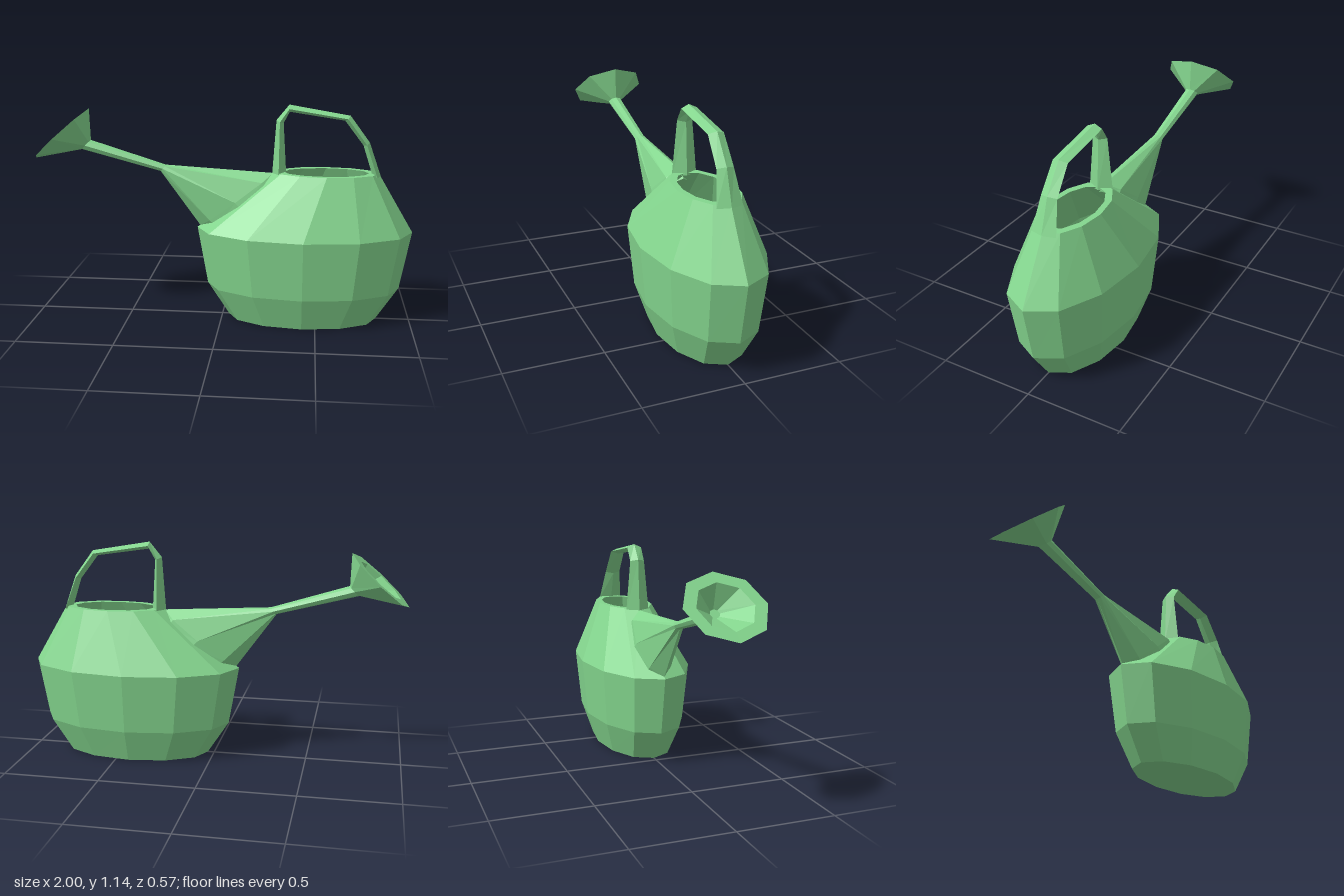
import * as THREE from 'three';

// Ring of n points: p and q are opposite [x, y] ends, w is the half width in z.
function ring(p, q, w, n) {
  return Array.from({ length: n }, (_, i) => {
    const c = Math.cos((i / n) * Math.PI * 2), s = Math.sin((i / n) * Math.PI * 2);
    return new THREE.Vector3(
      (p[0] + q[0]) / 2 + ((p[0] - q[0]) / 2) * c,
      (p[1] + q[1]) / 2 + ((p[1] - q[1]) / 2) * c,
      w * s
    );
  });
}

// Horizontal 12-sided ellipse around x = cx.
function ellipse(cx, y, rx, rz) {
  return ring([cx - rx, y], [cx + rx, y], rz, 12);
}

// Faceted skin over successive rings, optionally capped at either end.
function loft(name, rings, material, capStart = true, capEnd = true) {
  const pos = [];
  const tri = (...pts) => pts.forEach((v) => pos.push(v.x, v.y, v.z));
  const n = rings[0].length;
  for (let r = 0; r < rings.length - 1; r++) {
    const a = rings[r], b = rings[r + 1];
    for (let i = 0; i < n; i++) {
      const j = (i + 1) % n;
      tri(a[i], a[j], b[j]);
      tri(a[i], b[j], b[i]);
    }
  }
  const first = rings[0], last = rings[rings.length - 1];
  for (let i = 1; i < n - 1; i++) {
    if (capStart) tri(first[0], first[i + 1], first[i]);
    if (capEnd) tri(last[0], last[i], last[i + 1]);
  }
  const geometry = new THREE.BufferGeometry();
  geometry.setAttribute('position', new THREE.Float32BufferAttribute(pos, 3));
  geometry.computeVertexNormals();
  const mesh = new THREE.Mesh(geometry, material);
  mesh.name = name;
  return mesh;
}

export function createModel() {
  const group = new THREE.Group();
  group.name = 'wateringCan';
  const green = new THREE.MeshStandardMaterial({
    color: 0x84d68e, flatShading: true, side: THREE.DoubleSide,
  });

  // Hollow body: up the outside, over the rim, down the inside to the floor
  group.add(loft('body', [
    ellipse(0.43, 0, 0.395, 0.2),
    ellipse(0.43, 0.175, 0.51, 0.258),
    ellipse(0.43, 0.485, 0.565, 0.285),
    ellipse(0.54, 0.795, 0.27, 0.143),
    ellipse(0.54, 0.795, 0.22, 0.112),
    ellipse(0.43, 0.475, 0.52, 0.25),
    ellipse(0.43, 0.18, 0.47, 0.225),
    ellipse(0.43, 0.03, 0.37, 0.175),
  ], green));

  // Spout, tapering from the sloping shoulder to a slim neck
  const tip = ring([-0.75, 0.895], [-0.7, 0.945], 0.037, 8);
  group.add(loft('spout', [
    ring([-0.08, 0.46], [0.29, 0.755], 0.092, 8),
    ring([-0.12, 0.495], [0.265, 0.787], 0.086, 8),
    ring([-0.33, 0.785], [-0.3, 0.82], 0.028, 8),
    tip,
  ], green, true, false));

  // Flared rose with a flat lip and a recessed inside
  group.add(loft('rose', [
    tip,
    ring([-1, 0.845], [-0.705, 1.112], 0.203, 8),
    ring([-0.955, 0.885], [-0.75, 1.07], 0.14, 8),
    ring([-0.755, 0.91], [-0.72, 0.945], 0.025, 8),
  ], green, false, true));

  // Diamond-section handle: outer edge, inner edge, half width
  const stations = [
    [[0.258, 0.765], [0.332, 0.785], 0.066],
    [[0.278, 1.065], [0.315, 1.05], 0.04],
    [[0.343, 1.145], [0.345, 1.108], 0.04],
    [[0.655, 1.092], [0.628, 1.066], 0.04],
    [[0.757, 0.955], [0.725, 0.94], 0.043],
    [[0.818, 0.785], [0.778, 0.78], 0.066],
  ];
  group.add(loft('handle', stations.map(([p, q, w]) => ring(p, q, w, 4)), green));

  return group;
}
